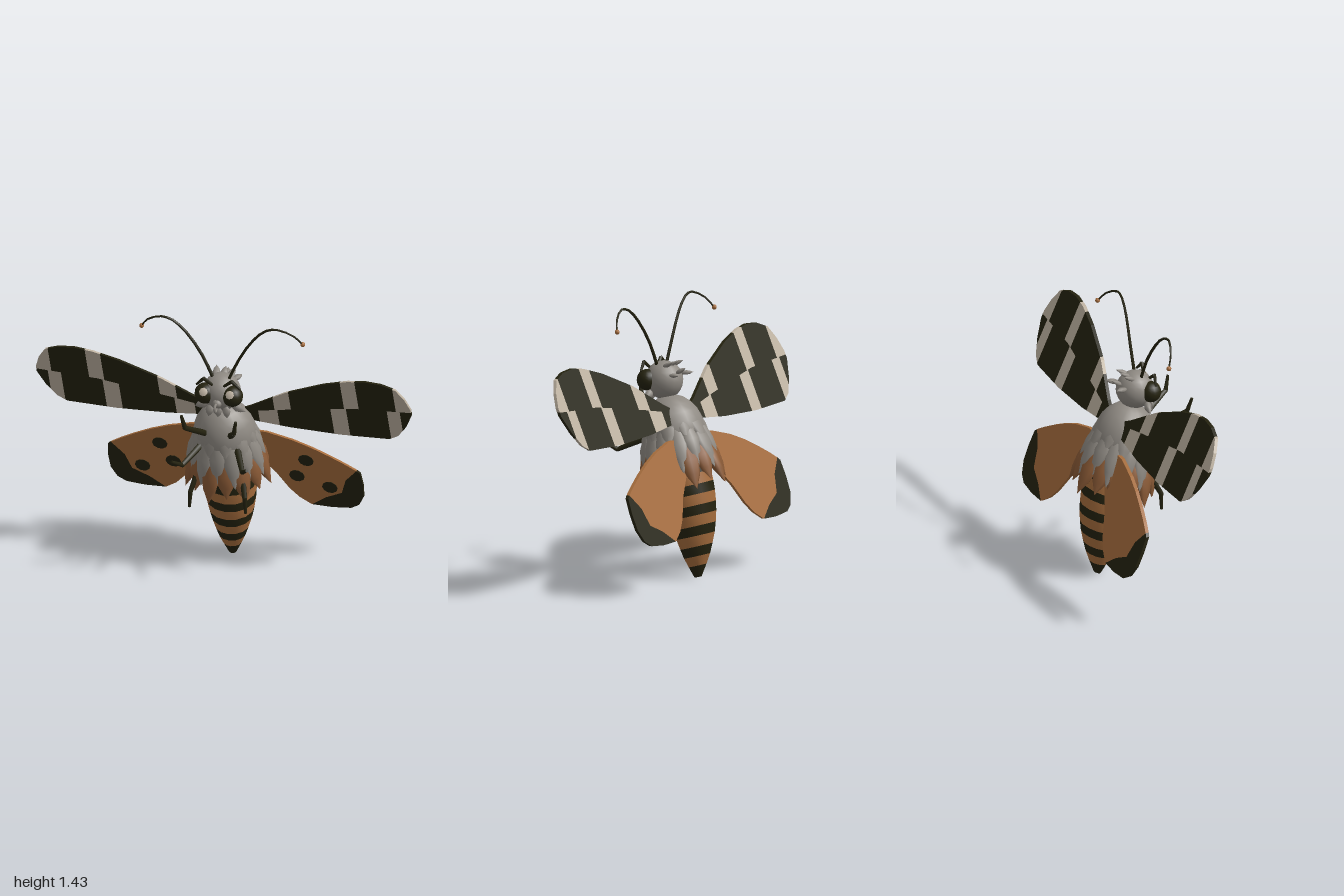
import * as THREE from 'three';

const paint = (name, color) => Object.assign(new THREE.MeshStandardMaterial({ color }), { name });
const V = (x, y, z) => new THREE.Vector3(x, y, z);

export function createModel() {
  const root = new THREE.Group();
  root.name = 'moth';
  const dark = paint('dark olive', 0x24220f);
  const orange = paint('orange', 0xa66d3d);
  const brown = paint('brown', 0x8a5a36);
  const grey = paint('fur grey', 0x8e8982);
  const beige = paint('beige', 0xbfb3a2);

  const add = (parent, name, geometry, material, pos = [0, 0, 0]) => {
    const mesh = new THREE.Mesh(geometry, material);
    mesh.name = name;
    mesh.position.set(...pos);
    parent.add(mesh);
    return mesh;
  };

  // Linear interpolation along a list of [x, y] points
  const at = (pts, x) => {
    let i = 1;
    while (i < pts.length - 1 && pts[i][0] < x) i++;
    const [a, b] = [pts[i - 1], pts[i]];
    return a[1] + (b[1] - a[1]) * (x - a[0]) / (b[0] - a[0]);
  };

  // Pointed fur tuft from base to tip, flattened along the outward direction
  const tuftShape = new THREE.LatheGeometry(
    [[0, 0], [0.65, 0.2], [1, 0.5], [0.7, 0.75], [0, 1]].map(p => new THREE.Vector2(...p)), 8);
  const tuft = (parent, name, base, tip, out, width, depth, material) => {
    const y = tip.clone().sub(base), length = y.length();
    y.normalize();
    const x = y.clone().cross(out).normalize();
    const z = x.clone().cross(y);
    const mesh = add(parent, name, tuftShape, material, base.toArray());
    mesh.quaternion.setFromRotationMatrix(new THREE.Matrix4().makeBasis(x, y, z));
    mesh.scale.set(width, length, depth);
  };

  // Jointed limb of tapered segments
  const limb = (parent, name, points, radii) => {
    const group = new THREE.Group();
    group.name = name;
    parent.add(group);
    for (let i = 0; i < points.length - 1; i++) {
      const d = points[i + 1].clone().sub(points[i]);
      const mesh = add(group, name + 'Segment',
        new THREE.CylinderGeometry(radii[i + 1], radii[i], d.length() + 0.004, 6), dark,
        points[i].clone().addScaledVector(d, 0.5).toArray());
      mesh.quaternion.setFromUnitVectors(V(0, 1, 0), d.normalize());
    }
  };

  // Abdomen: banded tapered body, curved and with slanted rings
  const girth = [[0, 0.02], [0.1, 0.07], [0.2, 0.105], [0.3, 0.127], [0.4, 0.137], [0.5, 0.135], [0.64, 0.115]];
  const bands = [0, 0.06, 0.11, 0.16, 0.215, 0.265, 0.32, 0.37, 0.425, 0.475, 0.53, 0.58, 0.64];
  for (let i = 0; i < bands.length - 1; i++) {
    const pts = [bands[i], bands[i + 1]].map(y => new THREE.Vector2(at(girth, y), y + 0.005));
    if (i === 0) pts.unshift(new THREE.Vector2(0, 0.005));
    const geo = new THREE.LatheGeometry(pts, 14);
    const p = geo.attributes.position;
    for (let k = 0; k < p.count; k++) {
      const y = p.getY(k), z = p.getZ(k) * 0.9;
      p.setXYZ(k, p.getX(k), y - 0.28 * z, z - 0.15 + 0.04 * y + 0.16 * y * y);
    }
    geo.computeVertexNormals();
    add(root, 'abdomenBand', geo, i % 2 ? orange : dark);
  }

  // Thorax with three overlapping skirts of fur
  const thorax = new THREE.Group();
  thorax.name = 'thorax';
  thorax.position.set(0, 0.9, 0.04);
  thorax.rotation.x = 0.25;
  root.add(thorax);
  add(thorax, 'thoraxCore', new THREE.SphereGeometry(1, 16, 12), grey, [0, -0.16, 0]).scale.set(0.165, 0.2, 0.165);
  const skirt = (name, count, shift, y0, r0, y1, r1, width, material) => {
    for (let i = 0; i < count; i++) {
      const a = (i + shift) / count * Math.PI * 2;
      const out = V(Math.sin(a), 0, Math.cos(a));
      const tip = out.clone().multiplyScalar(r1 + (i % 2) * 0.012).setY(y1 - (i % 2) * 0.03);
      tuft(thorax, name, out.clone().multiplyScalar(r0).setY(y0), tip, out, width, 0.03, material);
    }
  };
  skirt('lowerFur', 14, 0.5, -0.17, 0.14, -0.43, 0.215, 0.052, brown);
  skirt('middleFur', 14, 0, -0.08, 0.12, -0.34, 0.2, 0.052, grey);
  skirt('upperFur', 11, 0.5, 0.02, 0.06, -0.21, 0.18, 0.055, grey);

  // Head with fur at the back and a curled mouth
  add(root, 'head', new THREE.SphereGeometry(0.1, 16, 12), grey, [0, 1.015, 0.065]);
  for (let i = -1; i <= 1; i++) {
    tuft(root, 'headTuft', V(i * 0.04, 1.05, 0.0), V(i * 0.07, 1.06 + 0.03 * (1 - Math.abs(i)), -0.07), V(0, 1, 0), 0.022, 0.012, grey);
    tuft(root, 'crownTuft', V(i * 0.03, 1.08, 0.06), V(i * 0.05, 1.12, -0.02), V(0, 1, 0), 0.02, 0.012, grey);
    tuft(root, 'chinTuft', V(i * 0.04, 0.97, 0.13), V(i * 0.05, 0.9, 0.14), V(0, 0, 1), 0.022, 0.012, grey);
  }
  add(root, 'mouthStem', new THREE.SphereGeometry(0.025, 8, 6), grey, [0, 0.985, 0.155]);
  add(root, 'curledMouth', new THREE.TorusGeometry(0.019, 0.007, 6, 14), grey, [0, 0.97, 0.183]).rotation.y = Math.PI / 2;

  // Wing panel: flat outline leaning forward at the top
  const panel = (parent, name, pts, side, lean, depth, material, offset = 0) => {
    const shape = new THREE.Shape(pts.map(([x, y]) => new THREE.Vector2(x * side, y)));
    const geo = new THREE.ExtrudeGeometry(shape, { depth, bevelEnabled: false });
    const p = geo.attributes.position;
    for (let i = 0; i < p.count; i++) p.setZ(i, p.getZ(i) - depth / 2 + offset + lean(p.getY(i)));
    geo.computeVertexNormals();
    add(parent, name, geo, material);
  };

  // Forewing edges, and the places where the checks change colour
  const top = [[0.08, 0.885], [0.13, 0.91], [0.33, 1.035], [0.545, 1.13], [0.68, 1.172], [0.775, 1.185], [0.86, 1.178], [0.935, 1.15], [0.975, 1.09], [1, 1.02]];
  const mid = [[0.08, 0.865], [0.3, 0.911], [0.68, 0.98], [1, 1.0]];
  const bottom = [[0.08, 0.82], [0.13, 0.81], [0.33, 0.79], [0.6, 0.78], [0.86, 0.79], [0.91, 0.82], [0.96, 0.89], [1, 0.98]];
  const rows = [
    [top, [0.08, 0.26, 0.35, 0.64, 0.72, 0.92, 1], dark, beige],
    [bottom, [0.08, 0.17, 0.275, 0.565, 0.65, 0.87, 0.94, 1], dark, beige],
  ];
  const foreLean = y => -0.08 + (y - 0.78) * 0.455;

  // Hindwing outline, with a dark tip
  const hindInner = [[0.655, 0.535], [0.59, 0.46], [0.56, 0.37], [0.47, 0.325], [0.39, 0.265]];
  const hind = [[0.08, 0.74], [0.2, 0.735], [0.33, 0.7], [0.43, 0.66], [0.52, 0.615], [0.6, 0.57],
    ...hindInner, [0.33, 0.305], [0.28, 0.36], [0.22, 0.46], [0.1, 0.6]];
  const hindTip = [...hindInner, [0.5, 0.262], [0.6, 0.272], [0.645, 0.3], [0.675, 0.36], [0.68, 0.44], [0.673, 0.52]];
  const hindLean = y => -0.09 + (y - 0.75) * 0.39;
  const spots = [[0.39, 0.57], [0.325, 0.405], [0.5, 0.4]];
  spots[1] = [0.33, 0.455];

  for (const s of [1, -1]) {
    const side = s > 0 ? 'left' : 'right';
    const foreWing = new THREE.Group();
    foreWing.name = side + 'Forewing';
    root.add(foreWing);
    for (const [edge, cuts, a, b] of rows) {
      for (let i = 0; i < cuts.length - 1; i++) {
        const [x0, x1] = [cuts[i], cuts[i + 1]];
        const line = e => [[x0, at(e, x0)], ...e.filter(p => p[0] > x0 && p[0] < x1), [x1, at(e, x1)]];
        panel(foreWing, 'forewingCheck', [...line(edge), ...line(mid).reverse()], s, foreLean, 0.018, i % 2 ? b : a);
      }
    }

    const hindWing = new THREE.Group();
    hindWing.name = side + 'Hindwing';
    root.add(hindWing);
    panel(hindWing, 'hindwingPanel', hind, s, hindLean, 0.018, orange);
    panel(hindWing, 'hindwingTip', hindTip, s, hindLean, 0.018, dark);
    for (const [x, y] of spots) {
      const ring = Array.from({ length: 10 }, (_, i) =>
        [x + 0.041 * Math.cos(i * Math.PI / 5), y + 0.038 * Math.sin(i * Math.PI / 5)]);
      panel(hindWing, 'hindwingSpot', ring, s, hindLean, 0.004, dark, 0.011);
    }

    // Eye with a pale glint and a bent brow
    add(root, side + 'Eye', new THREE.SphereGeometry(0.055, 16, 12), dark, [s * 0.073, 1.02, 0.12]);
    const glint = add(root, side + 'EyeGlint', new THREE.SphereGeometry(0.0565, 8, 3, 0, Math.PI * 2, 0, 0.42), beige, [s * 0.073, 1.02, 0.12]);
    glint.quaternion.setFromUnitVectors(V(0, 1, 0), V(-s * 0.05, 0.5, 0.85).normalize());
    limb(root, side + 'Brow', [V(s * 0.115, 1.07, 0.13), V(s * 0.075, 1.112, 0.14), V(s * 0.03, 1.075, 0.13)], [0.006, 0.01, 0.008]);
    tuft(root, side + 'CheekTuft', V(s * 0.05, 0.97, 0.1), V(s * 0.135, 0.925, 0.09), V(0, 0, 1), 0.025, 0.02, grey);

    // Antenna with a round end
    const feeler = new THREE.CatmullRomCurve3([V(s * 0.04, 1.09, 0.08), V(s * 0.1, 1.22, 0.085), V(s * 0.18, 1.345, 0.1),
      V(s * 0.25, 1.41, 0.11), V(s * 0.31, 1.424, 0.112), V(s * 0.39, 1.385, 0.085), V(s * 0.43, 1.33, 0.055)]);
    limb(root, side + 'Antenna', feeler.getPoints(12), Array.from({ length: 13 }, (_, i) => 0.009 - i * 0.0004));
    add(root, side + 'AntennaBall', new THREE.SphereGeometry(0.013, 10, 8), orange, [s * 0.43, 1.33, 0.055]);

    // Three legs
    const legs = {
      FrontLeg: [V(s * 0.06, 0.79, 0.12), V(s * 0.13, 0.895, 0.3), V(s * 0.145, 0.97, 0.32)],
      MiddleLeg: [V(s * 0.1, 0.715, 0.12), V(s * 0.16, 0.655, 0.245), V(s * 0.2, 0.695, 0.305)],
      RearLeg: [V(s * 0.11, 0.59, 0.08), V(s * 0.145, 0.46, 0.145), V(s * 0.15, 0.375, 0.145)],
    };
    for (const [name, pts] of Object.entries(legs)) limb(root, side + name, pts, [0.018, 0.013, 0.008]);
  }
  return root;
}
